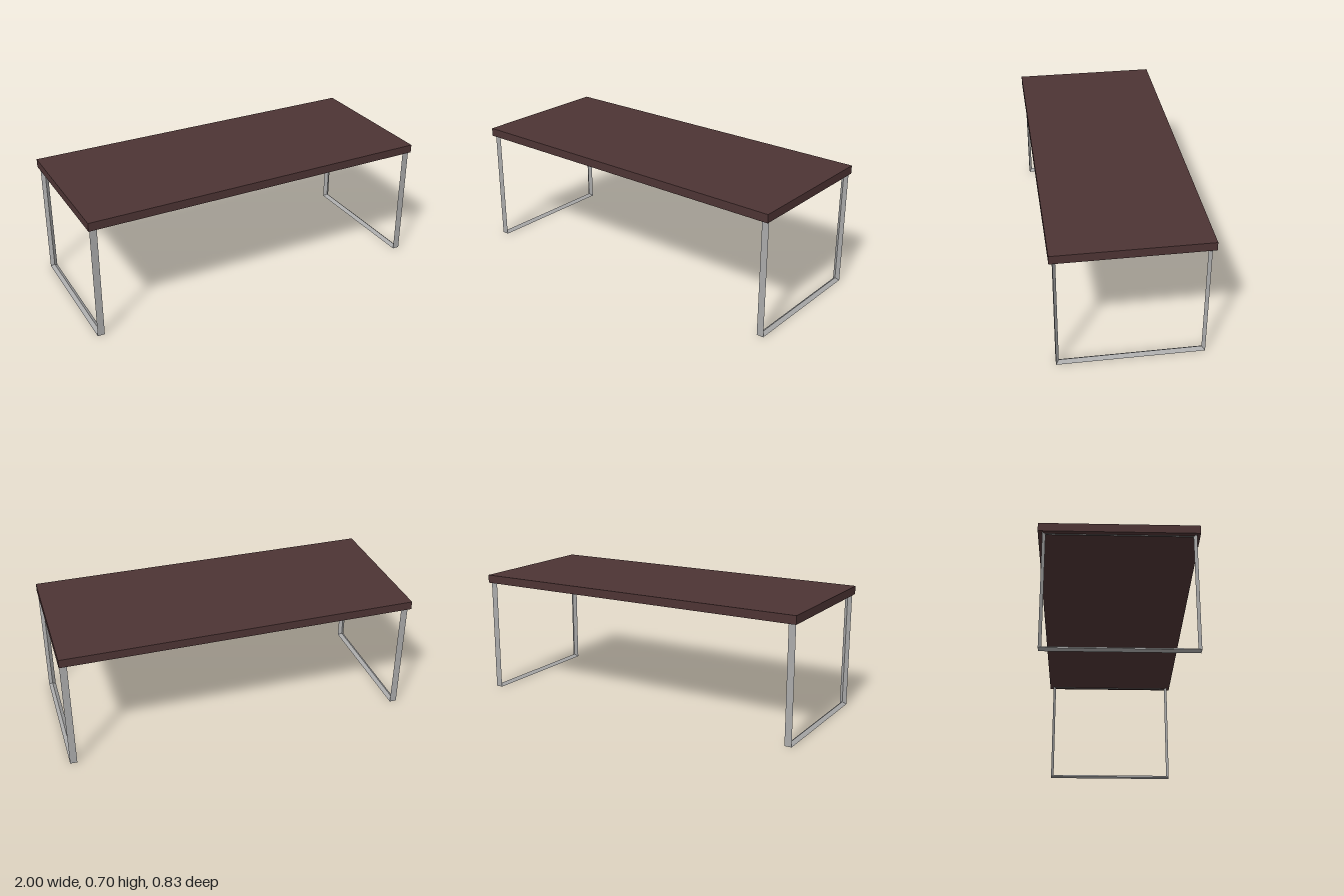
import * as THREE from 'three';

// Mitred rectangular frame swept from a triangular bar: flat outside, ridge inside
function frameGeometry(width, halfDepth, height, thickness) {
  const corners = [[1, 0], [-1, 0], [-1, 1], [1, 1]]; // z side, bottom or top
  const profile = [[-width / 2, 0], [width / 2, 0], [0, thickness]]; // x, inset
  const points = [];
  const index = [];
  corners.forEach(([side, top], i) => {
    for (const [x, inset] of profile) {
      points.push(x, top ? height - inset : inset, side * (halfDepth - inset));
    }
    const next = (i + 1) % corners.length;
    for (let k = 0; k < 3; k++) {
      const m = (k + 1) % 3;
      const a = i * 3 + k, b = next * 3 + k, c = next * 3 + m, d = i * 3 + m;
      index.push(a, b, c, a, c, d);
    }
  });
  const indexed = new THREE.BufferGeometry();
  indexed.setAttribute('position', new THREE.Float32BufferAttribute(points, 3));
  indexed.setIndex(index);
  const geometry = indexed.toNonIndexed();
  geometry.computeVertexNormals();
  return geometry;
}

export function createModel() {
  const wood = new THREE.MeshStandardMaterial({ color: 0x4d3434 });
  wood.name = 'dark brown wood';
  const metal = new THREE.MeshStandardMaterial({ color: 0xaaaaaa });
  metal.name = 'grey metal';

  const table = new THREE.Group();
  table.name = 'table';

  // Slab top
  const top = new THREE.Mesh(new THREE.BoxGeometry(2, 0.047, 0.834), wood);
  top.name = 'tableTop';
  top.position.y = 0.681;
  table.add(top);

  // One leg frame at each end, its upper bar sunk into the top
  const geometry = frameGeometry(0.04, 0.396, 0.67, 0.016);
  for (const [name, x] of [['rightLegFrame', -0.97], ['leftLegFrame', 0.976]]) {
    const frame = new THREE.Mesh(geometry, metal);
    frame.name = name;
    frame.position.set(x, 0, 0.002);
    table.add(frame);
  }
  return table;
}
